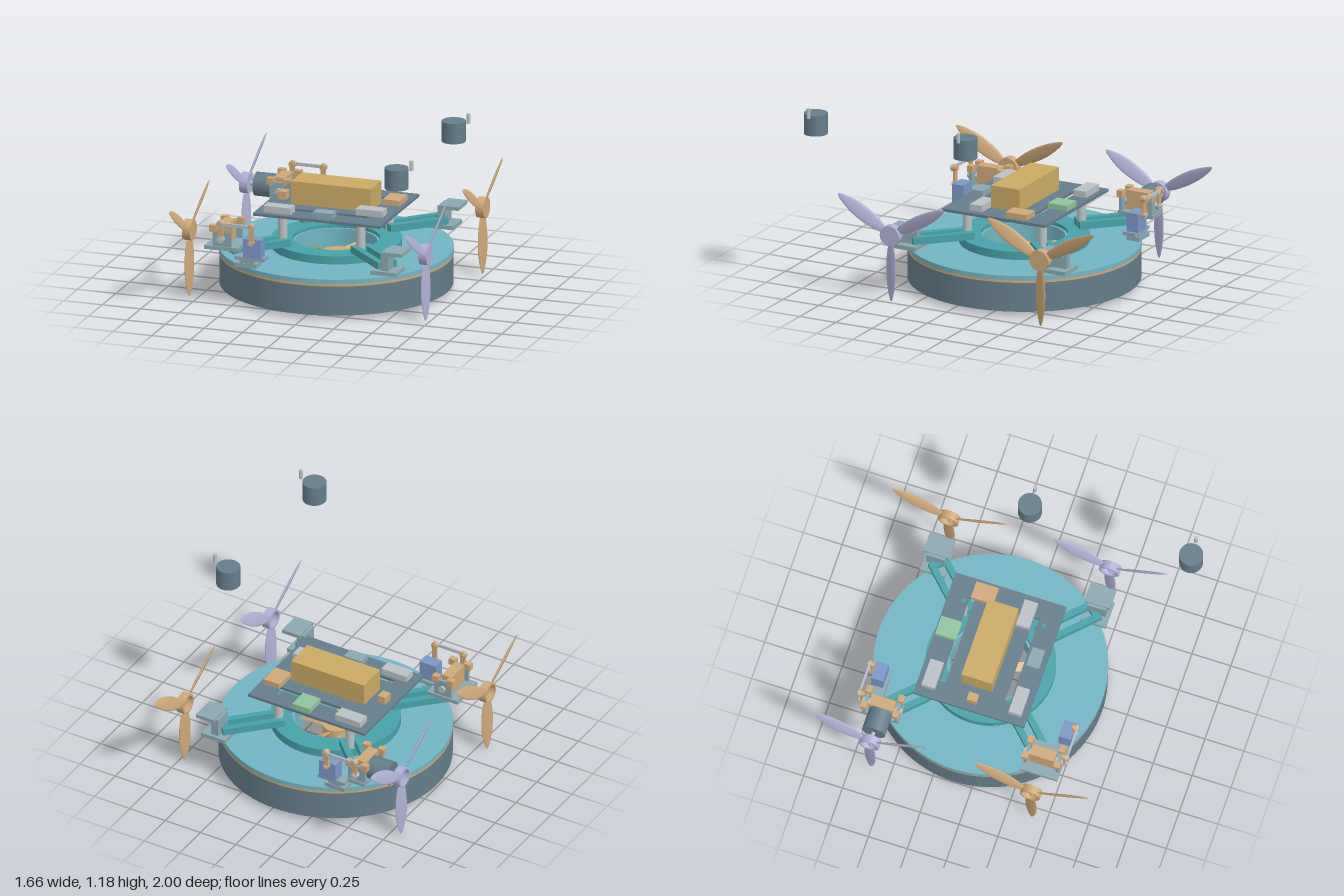
import * as THREE from 'three';

const mat = (name, color, side = THREE.FrontSide) => {
  const m = new THREE.MeshStandardMaterial({ color, side });
  m.name = name;
  return m;
};
const slate = mat('slate', 0x657d8b);
const sky = mat('plateBlue', 0x72b4c4);
const teal = mat('teal', 0x48a1a9);
const tan = mat('tan', 0xcfa878);
const gold = mat('gold', 0xcaa964);
const lavender = mat('lavender', 0xb0b0d6);
const green = mat('green', 0x90c49e);
const blueGrey = mat('blueGrey', 0x8aa7b0);
const servoBlue = mat('servoBlue', 0x7b97c6);
const silver = mat('silver', 0xb9c0c5);

const CX = -0.04, CZ = -0.115; // hull axis
const AXLE = 0.43;             // propeller axle height
const ZF = 0.4, ZB = -0.635;   // front and back propeller lines

function add(parent, name, geo, material, x = 0, y = 0, z = 0) {
  const m = new THREE.Mesh(geo, material);
  m.name = name;
  m.position.set(x, y, z);
  parent.add(m);
  return m;
}
// Box given by its limits on each axis
function box(parent, name, material, x0, x1, y0, y1, z0, z1) {
  return add(parent, name, new THREE.BoxGeometry(x1 - x0, y1 - y0, z1 - z0), material,
    (x0 + x1) / 2, (y0 + y1) / 2, (z0 + z1) / 2);
}
// Cylinder along the chosen axis
function rod(parent, name, material, r, len, x, y, z, axis = 'y', sides = 32) {
  const g = new THREE.CylinderGeometry(r, r, len, sides);
  if (axis === 'x') g.rotateZ(Math.PI / 2);
  if (axis === 'z') g.rotateX(Math.PI / 2);
  return add(parent, name, g, material, x, y, z);
}
// Ring with square edges around the hull axis
function ring(parent, name, material, rOut, rIn, y0, y1) {
  const pairs = [[rIn, y0, rOut, y0], [rOut, y0, rOut, y1], [rOut, y1, rIn, y1], [rIn, y1, rIn, y0]];
  const g = new THREE.Group();
  g.name = name;
  g.position.set(CX, 0, CZ);
  pairs.forEach(([a, b, c, d], i) => add(g, name + 'Face' + i,
    new THREE.LatheGeometry([new THREE.Vector2(a, b), new THREE.Vector2(c, d)], 96), material));
  parent.add(g);
}
// Flat plate with rectangular slots, lying in the xz plane from y = 0 up
function slottedPlate(w, d, h, slots) {
  const rect = (S, x0, x1, z0, z1) => new S([[x0, z0], [x1, z0], [x1, z1], [x0, z1]].map(p => new THREE.Vector2(...p)));
  const s = rect(THREE.Shape, -w / 2, w / 2, -d / 2, d / 2);
  slots.forEach(r => s.holes.push(rect(THREE.Path, ...r)));
  return new THREE.ExtrudeGeometry(s, { depth: h, bevelEnabled: false }).rotateX(-Math.PI / 2);
}

// Pointed leaf blade along +y, pitched about its length
function bladeGeometry() {
  const g = new THREE.SphereGeometry(1, 16, 24);
  const p = g.attributes.position;
  for (let i = 0; i < p.count; i++) {
    const t = (p.getY(i) + 1) / 2;
    const k = t > 0.5 ? 1 - 0.35 * (2 * t - 1) ** 2 : 1;
    p.setXYZ(i, p.getX(i) * 0.008, 0.035 + 0.39 * t, p.getZ(i) * 0.045 * k);
  }
  g.rotateY(0.38);
  g.computeVertexNormals();
  return g;
}

function propeller(parent, name, material, x, z) {
  const g = new THREE.Group();
  g.name = name;
  g.position.set(x, AXLE, z);
  // cup-shaped hub, open towards -x
  const pts = [[0, 0.026], [0.065, 0.026], [0.065, 0.026], [0.065, -0.026], [0.065, -0.026], [0.052, -0.026],
    [0.052, -0.026], [0.052, 0.012], [0.052, 0.012], [0, 0.012]].map(p => new THREE.Vector2(...p)).reverse();
  for (let i = 0; i < pts.length; i += 2) {
    add(g, 'hub', new THREE.LatheGeometry([pts[i], pts[i + 1]], 32), material).rotation.z = -Math.PI / 2;
  }
  const blade = bladeGeometry();
  for (let i = 0; i < 3; i++) add(g, 'blade', blade, material).rotation.x = Math.PI + i * Math.PI * 2 / 3;
  parent.add(g);
}

function hull(root) {
  ring(root, 'skirt', slate, 0.715, 0.705, 0.03, 0.216);
  ring(root, 'trimRing', tan, 0.717, 0.695, 0.216, 0.232);
  ring(root, 'deck', sky, 0.718, 0.265, 0.232, 0.26);
  ring(root, 'duct', sky, 0.268, 0.25, 0.13, 0.29);
  ring(root, 'ductFlange', teal, 0.4, 0.266, 0.26, 0.312);
  // radial ribs under the deck
  const rib = new THREE.BoxGeometry(0.22, 0.014, 0.008).translate(0.47, 0, 0);
  for (let i = 0; i < 32; i++) add(root, 'deckRib', rib, teal, CX, 0.226, CZ).rotation.y = i * Math.PI / 16;
  // lift fan
  const fan = new THREE.Group();
  fan.name = 'liftFan';
  fan.position.set(CX, 0.2, CZ);
  add(fan, 'fanHub', new THREE.CylinderGeometry(0.08, 0.08, 0.06, 32), tan);
  for (let i = 0; i < 5; i++) {
    const arm = new THREE.Group();
    arm.name = 'fanBlade';
    arm.rotation.y = 1.3 + i * Math.PI * 0.4;
    add(arm, 'fanBladeFace', new THREE.BoxGeometry(0.17, 0.008, 0.06), tan, 0.15).rotation.x = 0.5;
    fan.add(arm);
  }
  root.add(fan);
  // slotted diagonal arms
  const armGeo = slottedPlate(0.39, 0.13, 0.045, [[-0.15, 0.15, -0.025, 0.025]]);
  for (const sx of [1, -1]) for (const sz of [1, -1]) {
    add(root, 'diagonalArm', armGeo, teal, CX + sx * 0.376, 0.314, CZ + sz * 0.376).rotation.y = -sx * sz * Math.PI / 4;
  }
}

function electronics(root) {
  const slots = [[-0.286, 0.284, -0.225, -0.189], [-0.286, 0.284, 0.189, 0.225]];
  add(root, 'circuitBoard', slottedPlate(0.825, 0.714, 0.017, slots), slate, -0.044, 0.508, -0.119);
  for (const x of [-0.295, 0.21]) for (const z of [-0.375, 0.145]) {
    rod(root, 'standoff', silver, 0.028, 0.198, x, 0.41, z);
    rod(root, 'boardHole', teal, 0.013, 0.004, x, 0.525, z, 'y', 16);
  }
  const parts = [
    ['battery', gold, -0.3, 0.215, 0.67, -0.217, -0.02],
    ['controllerBack', silver, -0.402, -0.225, 0.566, -0.44, -0.355],
    ['controllerFront', silver, -0.402, -0.225, 0.566, 0.12, 0.2],
    ['controllerRight', silver, 0.15, 0.322, 0.566, -0.015, 0.07],
    ['radioModule', green, -0.06, 0.062, 0.56, -0.465, -0.333],
    ['sensorModule', blueGrey, -0.08, 0.045, 0.56, 0.127, 0.207],
    ['regulator', tan, 0.232, 0.342, 0.56, -0.333, -0.19],
    ['connector', tan, -0.41, -0.357, 0.575, -0.148, -0.085],
  ];
  for (const [name, m, x0, x1, top, z0, z1] of parts) box(root, name, m, x0, x1, 0.525, top, z0, z1);
}

// Stepped bracket on the right side
function stepBracket(root, z) {
  box(root, 'bracketBase', blueGrey, 0.39, 0.56, 0.29, 0.315, z - 0.082, z + 0.082);
  box(root, 'bracketWall', blueGrey, 0.452, 0.5, 0.315, 0.43, z - 0.06, z + 0.06);
  box(root, 'bracketTab', blueGrey, 0.47, 0.595, 0.417, 0.44, z - 0.082, z + 0.082);
}

// Tilting mount with servo linkage; s points to the outer side along z
function tiltMount(root, z, s) {
  const g = new THREE.Group();
  g.name = 'tiltMount';
  g.position.z = z;
  const b = (name, m, x0, x1, y0, y1, a, c) => box(g, name, m, x0, x1, y0, y1, Math.min(a * s, c * s), Math.max(a * s, c * s));
  if (s > 0) b('mountBase', blueGrey, -0.67, -0.455, 0.357, 0.38, -0.12, 0.122);
  else b('mountBase', blueGrey, -0.62, -0.5, 0.357, 0.38, -0.12, 0.122);
  for (const w of [-0.11, 0.095]) {
    b('bearingWall', blueGrey, -0.62, -0.5, 0.36, 0.485, w, w + 0.018);
    for (const x of [-0.615, -0.51]) b('bearingCap', tan, x - 0.022, x + 0.022, 0.47, 0.512, w - 0.01, w + 0.028);
  }
  b('motorYoke', tan, -0.605, -0.535, 0.385, 0.508, -0.077, 0.077);
  rod(g, 'tiltPin', silver, 0.022, 0.27, -0.56, AXLE, s * 0.01, 'z', 20);
  // servo on its pedestal
  b('pedestalFoot', blueGrey, -0.475, -0.335, 0.26, 0.288, 0.03, 0.115);
  b('pedestalStem', blueGrey, -0.445, -0.355, 0.288, 0.307, 0.04, 0.11);
  b('pedestalTop', blueGrey, -0.475, -0.285, 0.307, 0.328, 0.03, 0.115);
  b('servo', servoBlue, -0.418, -0.303, 0.328, 0.447, 0.048, 0.125);
  // cranks and link rod
  for (const x of [-0.56, -0.36]) {
    b('crank', tan, x - 0.016, x + 0.016, AXLE, 0.533, 0.128, 0.142);
    for (const y of [AXLE, 0.533]) rod(g, 'crankEye', tan, 0.022, 0.018, x, y, s * 0.135, 'z', 20);
    rod(g, 'crankPin', silver, 0.012, 0.05, x, AXLE, s * 0.13, 'z', 16);
    rod(g, 'linkPin', tan, 0.015, 0.045, x, 0.533, s * 0.14, 'z', 16);
    rod(g, 'linkEye', silver, 0.022, 0.012, x, 0.533, s * 0.15, 'z', 20);
  }
  b('linkRod', silver, -0.56, -0.36, 0.523, 0.543, 0.144, 0.156);
  root.add(g);
}

export function createModel() {
  const root = new THREE.Group();
  root.name = 'hovercraft';
  hull(root);
  electronics(root);
  for (const z of [ZF, ZB]) stepBracket(root, z);
  tiltMount(root, ZF, 1);
  tiltMount(root, ZB, -1);
  // mounted thrust motor
  rod(root, 'thrustMotor', slate, 0.074, 0.14, -0.675, AXLE, ZB, 'x');
  rod(root, 'thrustShaft', silver, 0.012, 0.07, -0.772, AXLE, ZB, 'x', 16);
  // detached motors
  for (const z of [-0.115, 0.922]) {
    rod(root, 'spareMotor', slate, 0.074, 0.13, 0.72, 1.07, z);
    rod(root, 'spareShaft', silver, 0.012, 0.063, 0.815, 1.157, z, 'y', 16);
  }
  propeller(root, 'propellerBackRight', lavender, -0.81, ZB);
  propeller(root, 'propellerFrontRight', tan, -0.81, ZF);
  propeller(root, 'propellerBackLeft', tan, 0.722, ZB);
  propeller(root, 'propellerFrontLeft', lavender, 0.722, ZF);
  return root;
}
